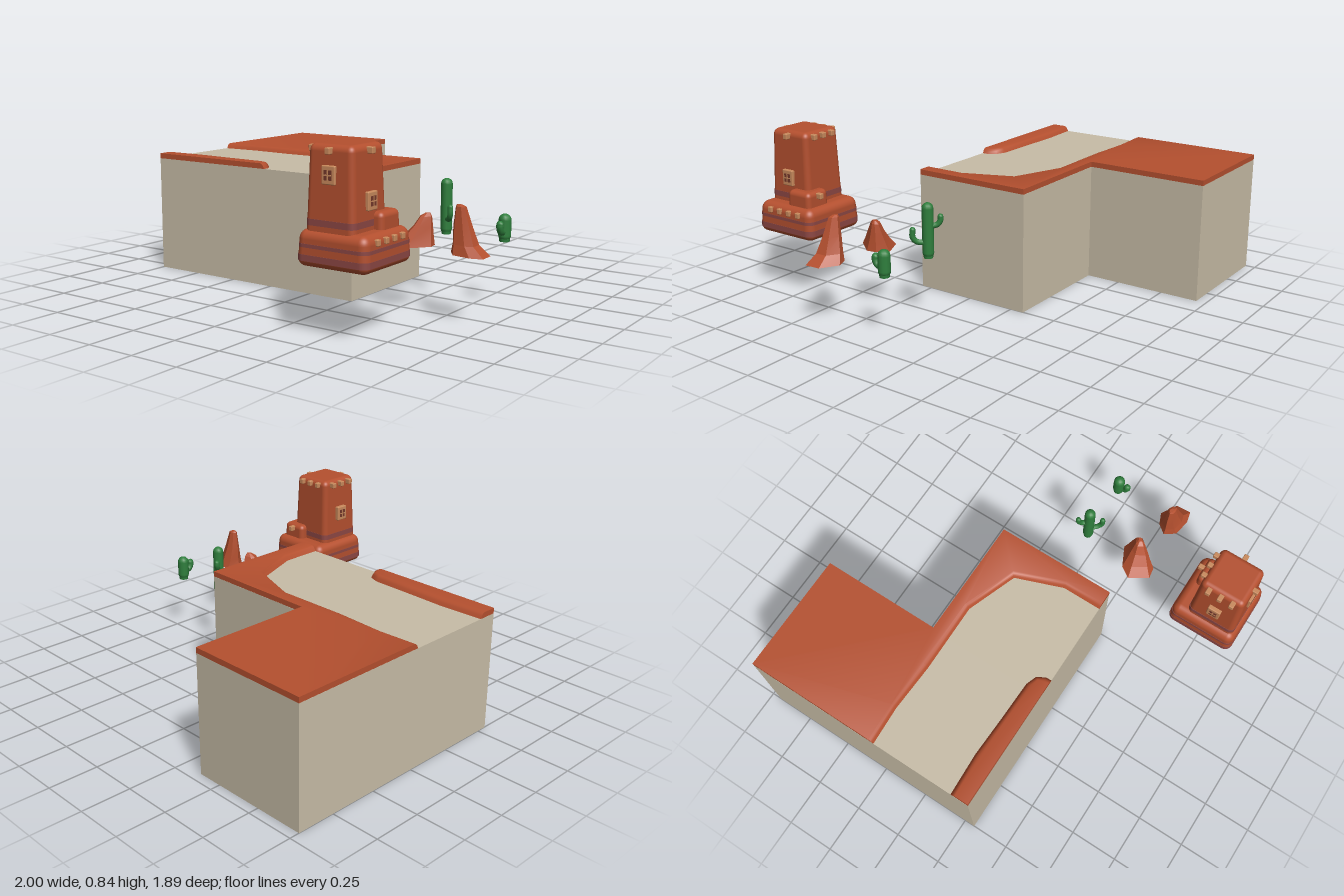
import * as THREE from 'three';
import { toCreasedNormals } from 'three/addons/utils/BufferGeometryUtils.js';
import { RoundedBoxGeometry } from 'three/addons/geometries/RoundedBoxGeometry.js';

const mat = (name, color) => {
  const m = new THREE.MeshStandardMaterial({ color });
  m.name = name;
  return m;
};

// Skin between rings of [x, y, z] points, counter-clockwise from above, lowest first
function loft(rings, closeBottom, crease) {
  const n = rings[0].length, index = [];
  for (let k = 0; k < rings.length - 1; k++) {
    for (let i = 0; i < n; i++) {
      const j = (i + 1) % n, a = k * n + i, b = k * n + j;
      index.push(a, b, b + n, a, b + n, a + n);
    }
  }
  const cap = (k, flip) => {
    const outline = rings[k].map(([x, , z]) => new THREE.Vector2(x, -z));
    for (const [a, b, c] of THREE.ShapeUtils.triangulateShape(outline, [])) {
      index.push(k * n + a, k * n + (flip ? c : b), k * n + (flip ? b : c));
    }
  };
  cap(rings.length - 1, false);
  if (closeBottom) cap(0, true);
  const g = new THREE.BufferGeometry();
  g.setAttribute('position', new THREE.Float32BufferAttribute(rings.flat(2), 3));
  g.setIndex(index);
  return toCreasedNormals(g, crease);
}

// Rounded box standing on y = 0 whose plan shrinks to the given scale at the top
function taperedBox(w, h, d, r, top) {
  const g = new RoundedBoxGeometry(w, h, d, 4, r);
  g.translate(0, h / 2, 0);
  const p = g.attributes.position;
  for (let i = 0; i < p.count; i++) {
    const s = 1 + (top - 1) * p.getY(i) / h;
    p.setX(i, p.getX(i) * s);
    p.setZ(i, p.getZ(i) * s);
  }
  return g;
}

// Flat band with rounded corners that wraps a block
function bandGeometry(w, h, d, r) {
  const s = new THREE.Shape(), x = w / 2, y = d / 2;
  s.absarc(x - r, y - r, r, 0, Math.PI / 2);
  s.absarc(-x + r, y - r, r, Math.PI / 2, Math.PI);
  s.absarc(-x + r, -y + r, r, Math.PI, Math.PI * 1.5);
  s.absarc(x - r, -y + r, r, Math.PI * 1.5, Math.PI * 2);
  return new THREE.ExtrudeGeometry(s, { depth: h, bevelEnabled: false, curveSegments: 6 }).rotateX(-Math.PI / 2);
}

export function createModel() {
  const root = new THREE.Group();
  root.name = 'desertCanyon';
  const red = mat('red rock', 0xb5502f);
  const stone = mat('pale stone', 0xc8bda7);
  stone.side = THREE.DoubleSide;
  const purple = mat('purple strata', 0x8c4744);
  const tan = mat('tan clay', 0xc98a5c);
  const dark = mat('dark opening', 0x74382a);
  const green = mat('cactus green', 0x2f7f3d);

  const add = (parent, name, geo, material, x = 0, y = 0, z = 0) => {
    const m = new THREE.Mesh(geo, material);
    m.name = name;
    m.position.set(x, y, z);
    parent.add(m);
    return m;
  };
  const group = (name) => {
    const g = new THREE.Group();
    g.name = name;
    root.add(g);
    return g;
  };

  // Three hollow ground tiles, open underneath
  const ground = group('ground');
  const T = 0.627;
  for (const [x, z] of [[-0.687, -0.636], [-0.687, -0.009], [-0.06, -0.009]]) {
    const g = new THREE.BoxGeometry(T, 0.6, T);
    const idx = Array.from(g.index.array);
    idx.splice(18, 6); // drop the underside
    g.setIndex(idx);
    g.clearGroups();
    add(ground, 'groundTile', g, stone, x, 0.3, z);
  }

  // Red banks: [x, z, bevel x, bevel z]; the bevel is only on the channel side
  const bank = (name, pts) => {
    const rings = [[0, 0.6], [0.3, 0.614], [0.6, 0.623], [1, 0.627]].map(([t, y]) =>
      pts.map(([x, z, bx = 0, bz = 0]) => [x + bx * t, y, z + bz * t]));
    add(ground, name, loft(rings, false, 0.7), red);
  };
  bank('farBank', [
    [-1, -0.95], [-1, -0.235, 0, -0.025], [-0.8, -0.245, 0, -0.025], [-0.55, -0.232, 0, -0.025],
    [-0.19, -0.235, 0.005, -0.025], [0.07, -0.14, 0.02, -0.018], [0.16, 0.1, 0.028, -0.005],
    [0.16, 0.305, 0.028, 0], [0.254, 0.305], [0.254, -0.322], [-0.373, -0.322], [-0.373, -0.95],
  ]);
  bank('nearBank', [
    [-1, 0.207, 0, 0.025], [-1, 0.305], [-0.28, 0.305, -0.025, 0], [-0.28, 0.275, -0.025, 0.006],
    [-0.305, 0.232, -0.015, 0.018], [-0.36, 0.212, 0, 0.025], [-0.55, 0.207, 0, 0.025], [-0.78, 0.198, 0, 0.025],
  ]);

  // Clay tower: base, shaft and side step
  const tower = group('tower');
  const FLOOR = 0.32, cx = 0.565, cz = 0.79;
  add(tower, 'towerBase', taperedBox(0.366, 0.16, 0.366, 0.04, 0.95), red, 0.588, FLOOR, 0.763);
  add(tower, 'towerShaft', taperedBox(0.252, 0.4, 0.26, 0.03, 0.89), red, cx, 0.44, cz);
  add(tower, 'towerStep', taperedBox(0.145, 0.13, 0.15, 0.025, 0.95), red, 0.66, 0.425, 0.695);
  add(tower, 'baseStripe', bandGeometry(0.363, 0.028, 0.363, 0.04), purple, 0.588, 0.347, 0.763);
  add(tower, 'baseStripe', bandGeometry(0.358, 0.016, 0.358, 0.04), purple, 0.588, 0.405, 0.763);
  add(tower, 'shaftStripe', bandGeometry(0.25, 0.028, 0.258, 0.03), purple, cx, 0.497, cz);

  // Framed windows with a crossed opening, turned to face outward
  for (const [x, y, z, turn] of [
    [cx, 0.715, 0.904, 0], [0.683, 0.605, cz, Math.PI / 2], [0.444, 0.64, cz, -Math.PI / 2],
  ]) {
    const w = new THREE.Group();
    w.name = 'window';
    w.position.set(x, y, z);
    w.rotation.y = turn;
    tower.add(w);
    add(w, 'windowFrame', new RoundedBoxGeometry(0.068, 0.08, 0.036, 2, 0.005), tan);
    add(w, 'windowOpening', new THREE.BoxGeometry(0.038, 0.042, 0.004), dark, 0, 0, 0.018);
    add(w, 'windowBar', new THREE.BoxGeometry(0.005, 0.042, 0.006), tan, 0, 0, 0.019);
    add(w, 'windowBar', new THREE.BoxGeometry(0.038, 0.005, 0.006), tan, 0, 0, 0.019);
  }

  // Beam ends poking out of the walls
  const beam = (x, y, z, alongX) => add(tower, 'beamEnd',
    new RoundedBoxGeometry(alongX ? 0.05 : 0.025, 0.028, alongX ? 0.025 : 0.05, 2, 0.004), tan, x, y, z);
  for (const s of [-1, 0, 1]) {
    beam(0.45, 0.815, cz + s * 0.064, true);
    beam(cx + s * 0.06, 0.815, 0.678, false);
  }
  beam(0.68, 0.815, cz, true);
  beam(cx, 0.815, 0.905, false);
  for (let i = 0; i < 4; i++) beam(0.75, 0.447, 0.665 + i * 0.063, true);
  beam(0.66, 0.532, 0.622, false);

  // Faceted rocks: outline shrunk towards a shifted centre at each level
  const rocks = group('rocks');
  const rock = (name, outline, mx, mz, levels) => {
    const rings = levels.map(([y, x, z, sx, sz]) =>
      outline.map(([px, pz]) => [x + (px - mx) * sx, y, z + (pz - mz) * sz]));
    add(rocks, name, loft(rings, true, 0.1), red);
  };
  rock('wideRock', [[0.49, 0.3], [0.55, 0.395], [0.61, 0.385], [0.685, 0.29], [0.675, 0.24], [0.635, 0.19], [0.53, 0.24]],
    0.59, 0.295, [
      [FLOOR, 0.59, 0.295, 1, 1], [0.36, 0.61, 0.285, 0.72, 0.75],
      [0.41, 0.63, 0.275, 0.45, 0.5], [0.455, 0.642, 0.268, 0.28, 0.28], [0.47, 0.65, 0.265, 0.12, 0.12],
    ]);
  rock('tallRock', [[0.81, 0.33], [0.85, 0.385], [0.94, 0.4], [1, 0.385], [0.995, 0.305], [0.91, 0.255], [0.85, 0.28]],
    0.9, 0.325, [
      [FLOOR, 0.9, 0.325, 1, 1], [0.365, 0.878, 0.325, 0.66, 0.74],
      [0.44, 0.864, 0.325, 0.5, 0.48], [0.53, 0.854, 0.325, 0.27, 0.26], [0.538, 0.848, 0.325, 0.14, 0.14],
    ]);

  // Cacti: capsule trunk and bent arms with round tips
  const cactus = (name, x, z, r, h, arms) => {
    const g = group(name);
    g.position.set(x, FLOOR, z);
    add(g, 'trunk', new THREE.CapsuleGeometry(r, h - 2 * r, 5, 12), green, 0, h / 2, 0);
    add(g, 'trunkFoot', new THREE.CylinderGeometry(r * 0.9, r * 0.8, r, 12), green, 0, r / 2, 0);
    for (const [dx, dz, y0, y1, ar] of arms) {
      const path = new THREE.CatmullRomCurve3([
        new THREE.Vector3(0, y0, 0), new THREE.Vector3(dx * 0.75, y0 + 0.008, dz * 0.75),
        new THREE.Vector3(dx, y0 + 0.03, dz), new THREE.Vector3(dx, y1 - ar, dz),
      ]);
      add(g, 'arm', new THREE.TubeGeometry(path, 14, ar, 8), green);
      add(g, 'armTip', new THREE.SphereGeometry(ar, 8, 6), green, dx, y1 - ar, dz);
    }
  };
  cactus('tallCactus', 0.59, -0.012, 0.028, 0.272, [
    [-0.04, -0.044, 0.155, 0.215, 0.014], [0.05, 0.052, 0.075, 0.155, 0.014],
  ]);
  cactus('smallCactus', 0.902, -0.012, 0.03, 0.132, [[0, 0.05, 0.045, 0.105, 0.018]]);

  return root;
}
